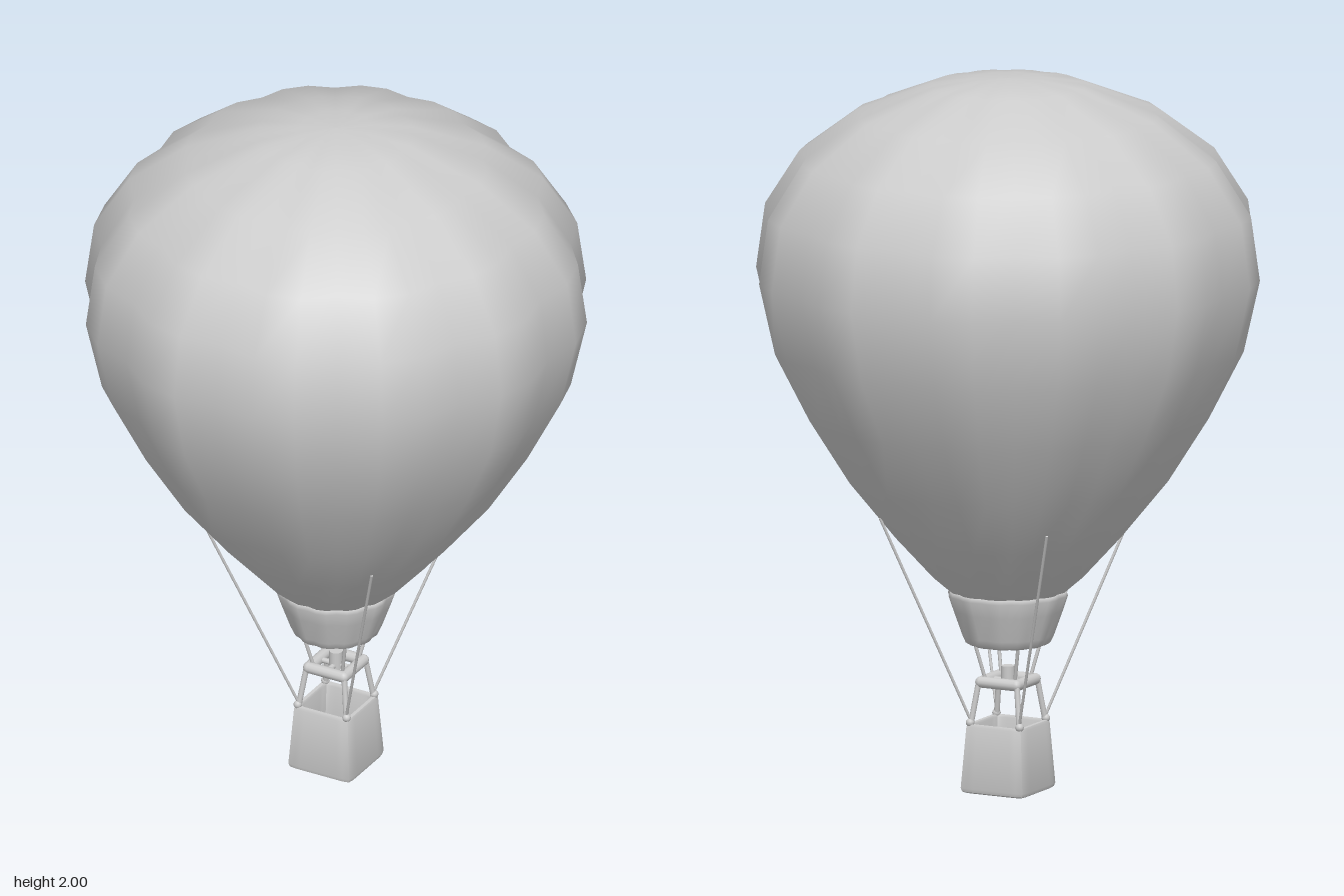
import * as THREE from 'three';
import { toCreasedNormals } from 'three/addons/utils/BufferGeometryUtils.js';

const grey = new THREE.MeshStandardMaterial({ color: 0xcccccc });
const cloth = new THREE.MeshStandardMaterial({ color: 0xcccccc, side: THREE.DoubleSide });

// Closed loops of points stacked along a [radius, height] profile;
// section(i) scales the radius around the loop.
function loft(profile, segments, section) {
  const pos = [], index = [];
  profile.forEach(([r, y]) => {
    for (let i = 0; i < segments; i++) {
      const a = (i / segments) * Math.PI * 2, k = r * section(i, a);
      pos.push(k * Math.sin(a), y, k * Math.cos(a));
    }
  });
  for (let j = 0; j < profile.length - 1; j++) {
    for (let i = 0; i < segments; i++) {
      const n = (i + 1) % segments;
      const a = j * segments + i, b = j * segments + n;
      const c = b + segments, d = a + segments;
      index.push(a, b, c, a, c, d);
    }
  }
  const g = new THREE.BufferGeometry();
  g.setAttribute('position', new THREE.Float32BufferAttribute(pos, 3));
  g.setIndex(index);
  g.computeVertexNormals();
  return g;
}

function add(parent, name, geometry, material = grey) {
  const m = new THREE.Mesh(geometry, material);
  m.name = name;
  parent.add(m);
  return m;
}

// Straight round bar between two points
function bar(parent, name, from, to, radius, sides = 10) {
  const a = new THREE.Vector3(...from), b = new THREE.Vector3(...to);
  const dir = b.clone().sub(a);
  const m = add(parent, name, new THREE.CylinderGeometry(radius, radius, dir.length(), sides));
  m.position.copy(a).add(b).multiplyScalar(0.5);
  m.quaternion.setFromUnitVectors(new THREE.Vector3(0, 1, 0), dir.normalize());
  return m;
}

function ball(parent, name, p, radius) {
  add(parent, name, new THREE.SphereGeometry(radius, 12, 8)).position.set(...p);
}

// Twelve gores: every third point is a seam, pulled inwards
const gores = (i) => (i % 3 === 0 ? 0.957 : 1);
// Square with softened corners
const square = (i, a) =>
  Math.pow(Math.abs(Math.sin(a)) ** 18 + Math.abs(Math.cos(a)) ** 18, -1 / 18);

export function createModel() {
  const model = new THREE.Group();
  model.name = 'hotAirBalloon';

  // Envelope
  add(model, 'envelope', loft([
    [0.13, 0.53], [0.158, 0.56], [0.21, 0.605], [0.315, 0.72], [0.445, 0.88], [0.558, 1.06],
    [0.655, 1.25], [0.7, 1.45], [0.675, 1.63], [0.58, 1.78], [0.42, 1.9], [0.215, 1.98],
    [0.1, 1.997], [0, 2],
  ], 36, gores), cloth);

  // Skirt below the mouth, open at the bottom with a turned-in hem
  add(model, 'skirt', loft([
    [0.1, 0.44], [0.1, 0.42], [0.109, 0.414], [0.119, 0.42], [0.128, 0.44], [0.153, 0.51],
    [0.167, 0.552], [0.162, 0.565], [0.148, 0.56],
  ], 36, gores), cloth);
  add(model, 'skirtLining', loft([[0.1, 0.44], [0.135, 0.535]], 36, gores), cloth);

  // Hollow basket: underside, walls, rim, inner walls, floor
  add(model, 'basket', toCreasedNormals(loft([
    [0, 0], [0.09, 0], [0.097, 0.004], [0.1, 0.014], [0.088, 0.185], [0.085, 0.192],
    [0.075, 0.192], [0.072, 0.186], [0.083, 0.02], [0, 0.02],
  ], 48, square), 0.7));

  // Burner frame, posts and ropes, repeated at the four corners
  const frame = new THREE.Group();
  frame.name = 'burnerFrame';
  const ropes = new THREE.Group();
  ropes.name = 'ropes';
  model.add(frame, ropes);
  const f = 0.055, fy = 0.308;
  const corners = [[1, 1], [1, -1], [-1, -1], [-1, 1]];
  corners.forEach(([x, z], i) => {
    const [nx, nz] = corners[(i + 1) % 4];
    bar(frame, 'frameRail', [x * f, fy, z * f], [nx * f, fy, nz * f], 0.016, 12);
    ball(frame, 'frameCorner', [x * f, fy, z * f], 0.016);
    bar(frame, 'post', [x * 0.077, 0.18, z * 0.077], [x * 0.06, 0.305, z * 0.06], 0.008);
    ball(frame, 'postFoot', [x * 0.077, 0.196, z * 0.077], 0.012);
    bar(ropes, 'outerRope', [x * 0.075, 0.2, z * 0.075], [x * 0.26, 0.785, z * 0.26], 0.004, 6);
    bar(ropes, 'innerRope', [x * 0.046, 0.315, z * 0.046], [x * 0.072, 0.44, z * 0.072], 0.005, 6);
  });

  // Burner on its crossbars
  bar(frame, 'crossbar', [-f, fy, 0], [f, fy, 0], 0.008);
  bar(frame, 'crossbar', [0, fy, -f], [0, fy, f], 0.008);
  bar(frame, 'burner', [0, 0.297, 0], [0, 0.35, 0], 0.019, 16);

  return model;
}
